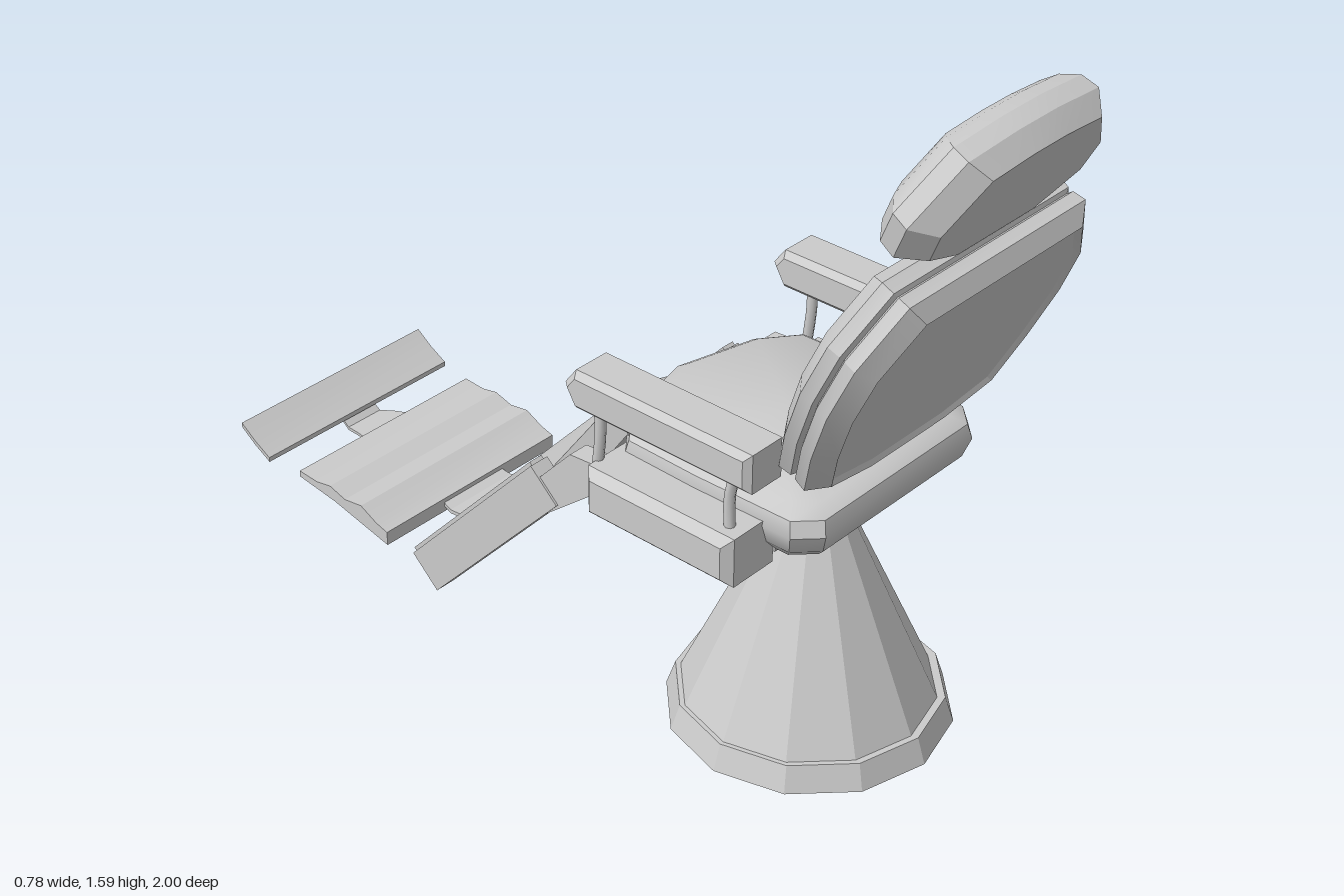
import * as THREE from 'three';
import { toCreasedNormals } from 'three/addons/utils/BufferGeometryUtils.js';

const grey = new THREE.MeshStandardMaterial({ color: 0xcccccc, side: THREE.DoubleSide });

function part(parent, name, geometry, x = 0, y = 0, z = 0) {
  const mesh = new THREE.Mesh(geometry, grey);
  mesh.name = name;
  mesh.position.set(x, y, z);
  parent.add(mesh);
  return mesh;
}

const shapeOf = (pts) => new THREE.Shape(pts.map(([a, b]) => new THREE.Vector2(a, b)));

// Side profile of [z, y] points, extruded across x and centred on x = 0
function slab(pts, width, bevel = 0) {
  const g = new THREE.ExtrudeGeometry(shapeOf(pts), {
    depth: width - 2 * bevel, bevelEnabled: bevel > 0, bevelSegments: 1,
    bevelSize: bevel, bevelThickness: bevel, bevelOffset: -bevel,
  });
  g.translate(0, 0, bevel - width / 2);
  g.rotateY(-Math.PI / 2);
  return toCreasedNormals(g, 0.4);
}

// Right half outline (bottom to top) mirrored into a counter-clockwise loop
const mirrored = (half) => half.concat(half.filter((p) => p[0] > 0).reverse().map(([x, y]) => [-x, y]));

// Upholstered pad: scaled outlines [depth, scale] stacked along z, capped by shallow domes
function pad(half, levels, zStart, zEnd, crease = 0.45) {
  const outline = mirrored(half), n = outline.length, pos = [], idx = [];
  for (const [z, s] of levels) for (const [x, y] of outline) pos.push(x * s, y * s, z);
  const first = levels.length * n, last = first + 1, top = (levels.length - 1) * n;
  pos.push(0, 0, zStart, 0, 0, zEnd);
  for (let j = 0; j < n; j++) {
    const k = (j + 1) % n;
    for (let l = 0; l < top; l += n) idx.push(l + j, l + k, l + n + k, l + j, l + n + k, l + n + j);
    idx.push(first, k, j, last, top + j, top + k);
  }
  const g = new THREE.BufferGeometry();
  g.setAttribute('position', new THREE.Float32BufferAttribute(pos, 3));
  g.setIndex(idx);
  return toCreasedNormals(g, crease);
}

// Thin tapering plate following [z, y, halfWidth] stations
function strap(stations, thickness) {
  const g = new THREE.BoxGeometry(1, 1, 1, 1, 1, stations.length - 1);
  const p = g.attributes.position, m = stations.length - 1;
  for (let i = 0; i < p.count; i++) {
    const [z, y, w] = stations[Math.round((0.5 - p.getZ(i)) * m)];
    p.setXYZ(i, p.getX(i) * 2 * w, y + p.getY(i) * thickness, z);
  }
  return toCreasedNormals(g, 0.2);
}

export function createModel() {
  const chair = new THREE.Group();
  chair.name = 'recliningChair';

  // Pedestal
  part(chair, 'baseDisc', toCreasedNormals(new THREE.CylinderGeometry(0.295, 0.315, 0.06, 12), 0.2), 0, 0.03, 0.5);
  part(chair, 'pedestalCone', toCreasedNormals(new THREE.CylinderGeometry(0.045, 0.28, 0.52, 12), 0.2), -0.005, 0.32, 0.5);

  // Seat
  part(chair, 'seatPan', new THREE.BoxGeometry(0.5, 0.045, 0.4), 0, 0.598, 0.395);
  const seatHalf = [[0.24, -0.3], [0.29, -0.25], [0.295, 0], [0.29, 0.19], [0.2, 0.26], [0, 0.31]];
  const seat = pad(seatHalf, [[0.58, 0.86], [0.61, 0.95], [0.655, 1], [0.69, 0.97], [0.71, 0.87]], 0.58, 0.724, 0.7);
  seat.rotateX(-Math.PI / 2);
  part(chair, 'seatCushion', seat, 0.005, 0, 0.41);

  // Backrest: rim around slightly recessed panels
  const backHalf = [[0.13, -0.285], [0.29, -0.25], [0.34, -0.12], [0.37, 0.02], [0.36, 0.15], [0.275, 0.28]];
  const back = part(chair, 'backrest', pad(backHalf,
    [[-0.053, 0.84], [-0.068, 0.88], [-0.035, 1], [-0.006, 0.99], [0, 0.96], [0.006, 0.99], [0.035, 1], [0.068, 0.89], [0.06, 0.85]],
    -0.06, 0.06), -0.015, 1.045, 0.775);
  back.rotation.x = 0.414;

  // Headrest
  const headHalf = [[0.14, -0.145], [0.28, -0.085], [0.295, 0], [0.2, 0.13], [0.06, 0.145]];
  const head = part(chair, 'headrest', pad(headHalf,
    [[-0.065, 0.72], [-0.05, 0.86], [-0.02, 0.98], [0.02, 1], [0.066, 0.84]], -0.068, 0.066), -0.005, 1.457, 0.892);
  head.rotation.x = 0.45;

  // Armrests, posts, side housings and leg-rest arms
  const armProfile = [[0.64, 0.8], [0.64, 0.89], [0.18, 0.89], [0.15, 0.85], [0.18, 0.8]];
  const hinge = [[0.25, 0.64], [0.11, 0.63], [-0.016, 0.493], [0.035, 0.445], [0.17, 0.555], [0.25, 0.55]];
  const posts = [
    [[0.575, 0.82], [0.55, 0.74], [0.555, 0.6]],
    [[0.195, 0.82], [0.205, 0.75], [0.19, 0.6]],
  ];
  for (const side of [-1, 1]) {
    const label = side > 0 ? 'left' : 'right';
    const low = side > 0 ? 0.52 : 0.55;
    part(chair, label + 'Armrest', slab(armProfile, 0.115, 0.014), side > 0 ? 0.315 : -0.337);
    const housing = [[0.59, low], [0.59, low + 0.115], [0.2, low + 0.115], [0.2, low]];
    part(chair, label + 'SideHousing', slab(housing, 0.16, 0.02), side * 0.31);
    part(chair, label + 'LegRestArm', slab(hinge, 0.05), side * 0.305);
    for (const path of posts) {
      const curve = new THREE.CatmullRomCurve3(path.map(([z, y]) => new THREE.Vector3(0, y, z)));
      part(chair, label + 'ArmPost', new THREE.TubeGeometry(curve, 8, 0.012, 8), side * 0.338);
    }
  }

  // Leg rest: crowned panel between two rails, tilted as one group
  const legRest = new THREE.Group();
  legRest.name = 'legRest';
  legRest.position.set(0, 0.08, -0.305);
  legRest.rotation.x = 0.75;
  chair.add(legRest);
  const crown = [[0.29, 0], [0.29, 0.074], [0.15, 0.106], [0.05, 0.13], [0, 0.133]];
  const arch = [[0, 0.06], [0.05, 0.057], [0.15, 0.033]];
  const section = mirrored(crown).concat([...arch].reverse().slice(0, 2).map(([x, y]) => [-x, y]), arch);
  const panel = new THREE.ExtrudeGeometry(shapeOf(section), { depth: 0.555, bevelEnabled: false });
  panel.rotateX(-Math.PI / 2);
  part(legRest, 'legPanel', toCreasedNormals(panel, 0.4));
  for (const side of [-1, 1]) {
    part(legRest, 'legRail', new THREE.BoxGeometry(0.05, 0.555, 0.1), side * 0.31, 0.2775, -0.05);
    part(legRest, 'legRailCap', new THREE.BoxGeometry(0.035, 0.545, 0.012), side * 0.31, 0.2775, -0.103);
  }

  // Footrest: straps, ridged plate and toe bar
  part(chair, 'footStrap', strap([[-0.34, 0.125, 0.12], [-0.42, 0.1, 0.113], [-0.5, 0.083, 0.1], [-0.57, 0.1, 0.09]], 0.01));
  const plate = [[-0.525, 0.07], [-0.525, 0.105], [-0.56, 0.115], [-0.61, 0.14], [-0.665, 0.132],
    [-0.715, 0.147], [-0.76, 0.138], [-0.82, 0.142], [-0.82, 0.126], [-0.7, 0.11]];
  part(chair, 'footPlate', slab(plate, 0.55), -0.005);
  part(chair, 'toeStrap', strap([[-0.8, 0.135, 0.078], [-0.86, 0.125, 0.063], [-0.9, 0.115, 0.052], [-0.94, 0.145, 0.05], [-0.95, 0.165, 0.05]], 0.008));
  part(chair, 'toeBar', strap([[-0.908, 0.142, 0.29], [-0.955, 0.168, 0.29], [-1, 0.2, 0.29]], 0.012), -0.007);

  return chair;
}
